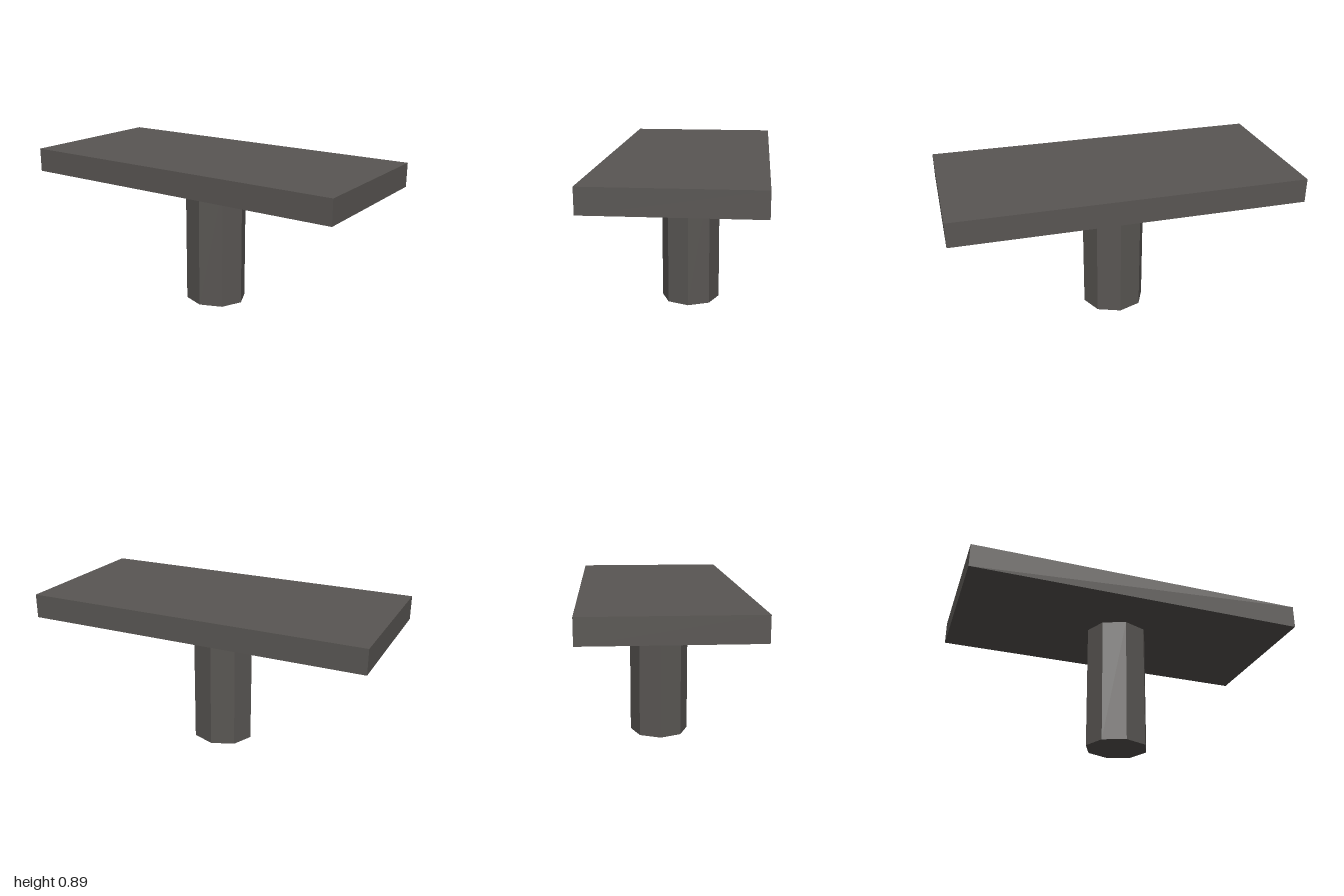
import * as THREE from 'three';

export function createModel() {
  const model = new THREE.Group();
  const darkGrey = new THREE.MeshStandardMaterial({ color: 0x595653, flatShading: true });
  darkGrey.name = 'darkGrey';

  const legHeight = 0.755, topThickness = 0.14;

  // Rectangular slab
  const top = new THREE.Mesh(new THREE.BoxGeometry(0.928, topThickness, 2), darkGrey);
  top.name = 'tableTop';
  top.position.y = legHeight + topThickness / 2;
  model.add(top);

  // Eight-sided pedestal, slightly deeper than wide
  const legGeometry = new THREE.CylinderGeometry(1, 1, legHeight, 8).scale(0.174, 1, 0.187);
  const leg = new THREE.Mesh(legGeometry, darkGrey);
  leg.name = 'pedestal';
  leg.position.y = legHeight / 2;
  model.add(leg);

  return model;
}
